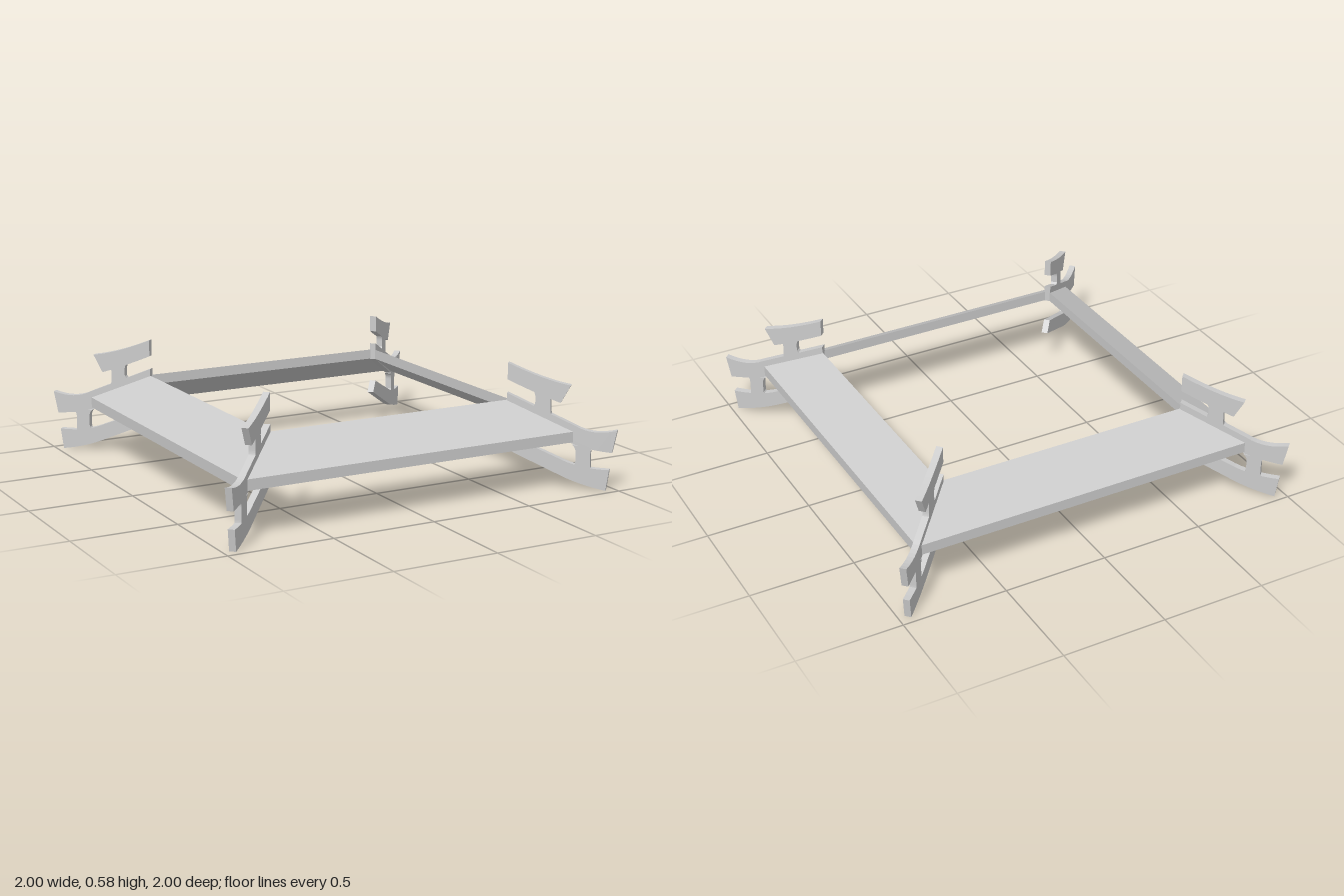
import * as THREE from 'three';

const THICK = 0.031;
const material = new THREE.MeshStandardMaterial({ color: 0xcccccc, flatShading: true });

// Closed outline in (u, y), u being the x distance along the corner diagonal.
// Entries of two numbers are straight steps, entries of four are curves (control, end).
function plate(name, steps) {
  const s = Math.SQRT2;
  const shape = new THREE.Shape();
  steps.forEach((p, i) => {
    if (i === 0) shape.moveTo(p[0] * s, p[1]);
    else if (p.length === 2) shape.lineTo(p[0] * s, p[1]);
    else shape.quadraticCurveTo(p[0] * s, p[1], p[2] * s, p[3]);
  });
  const geometry = new THREE.ExtrudeGeometry(shape, { depth: THICK, bevelEnabled: false, curveSegments: 8 });
  geometry.translate(0, 0, -THICK / 2);
  const mesh = new THREE.Mesh(geometry, material);
  mesh.name = name;
  return mesh;
}

// Short upright whose head and foot flare into the bars
function post(name, u, half, bottom, top, footDrop) {
  const f = half + 0.012, h = 0.025;
  return plate(name, [
    [u - f, bottom + footDrop], [u + f, bottom - footDrop],
    [u + half, bottom - footDrop, u + half, bottom + h],
    [u + half, top - h],
    [u + half, top, u + f, top], [u - f, top + 0.012],
    [u - half, top, u - half, top - h],
    [u - half, bottom + h + footDrop],
  ]);
}

function cornerBracket() {
  const g = new THREE.Group();
  g.name = 'cornerBracket';
  g.add(
    plate('upperBar', [
      [0.626, 0.497], [0.72, 0.44, 0.802, 0.402], [0.834, 0.487],
      [0.745, 0.505, 0.626, 0.576],
    ]),
    post('upperPost', 0.744, 0.025, 0.35, 0.445, 0.015),
    plate('middleBar', [
      [0.625, 0.35], [0.82, 0.228], [0.87, 0.19, 0.974, 0.182], [0.989, 0.289],
      [0.91, 0.255, 0.85, 0.3], [0.625, 0.433],
    ]),
    post('lowerPost', 0.88, 0.024, 0.09, 0.195, 0.005),
    plate('lowerBar', [
      [0.594, 0.184], [0.8, 0.062], [0.87, 0.018, 0.957, 0], [0.967, 0.1],
      [0.87, 0.094, 0.8, 0.139], [0.626, 0.236],
    ]),
  );
  return g;
}

export function createModel() {
  const model = new THREE.Group();
  model.name = 'squareEave';

  // Sloping square roof skirt with mitred corners
  const profile = [[0.857, 0.22], [0.857, 0.27], [0.633, 0.4], [0.633, 0.352], [0.857, 0.22]]
    .map(([x, y]) => new THREE.Vector2(x * Math.SQRT2, y));
  const skirt = new THREE.Mesh(new THREE.LatheGeometry(profile, 4, Math.PI / 4), material);
  skirt.name = 'roofSkirt';
  model.add(skirt);

  // One bracket on each diagonal
  for (let i = 0; i < 4; i++) {
    const bracket = cornerBracket();
    bracket.rotation.y = Math.PI / 4 + i * Math.PI / 2;
    model.add(bracket);
  }
  return model;
}
